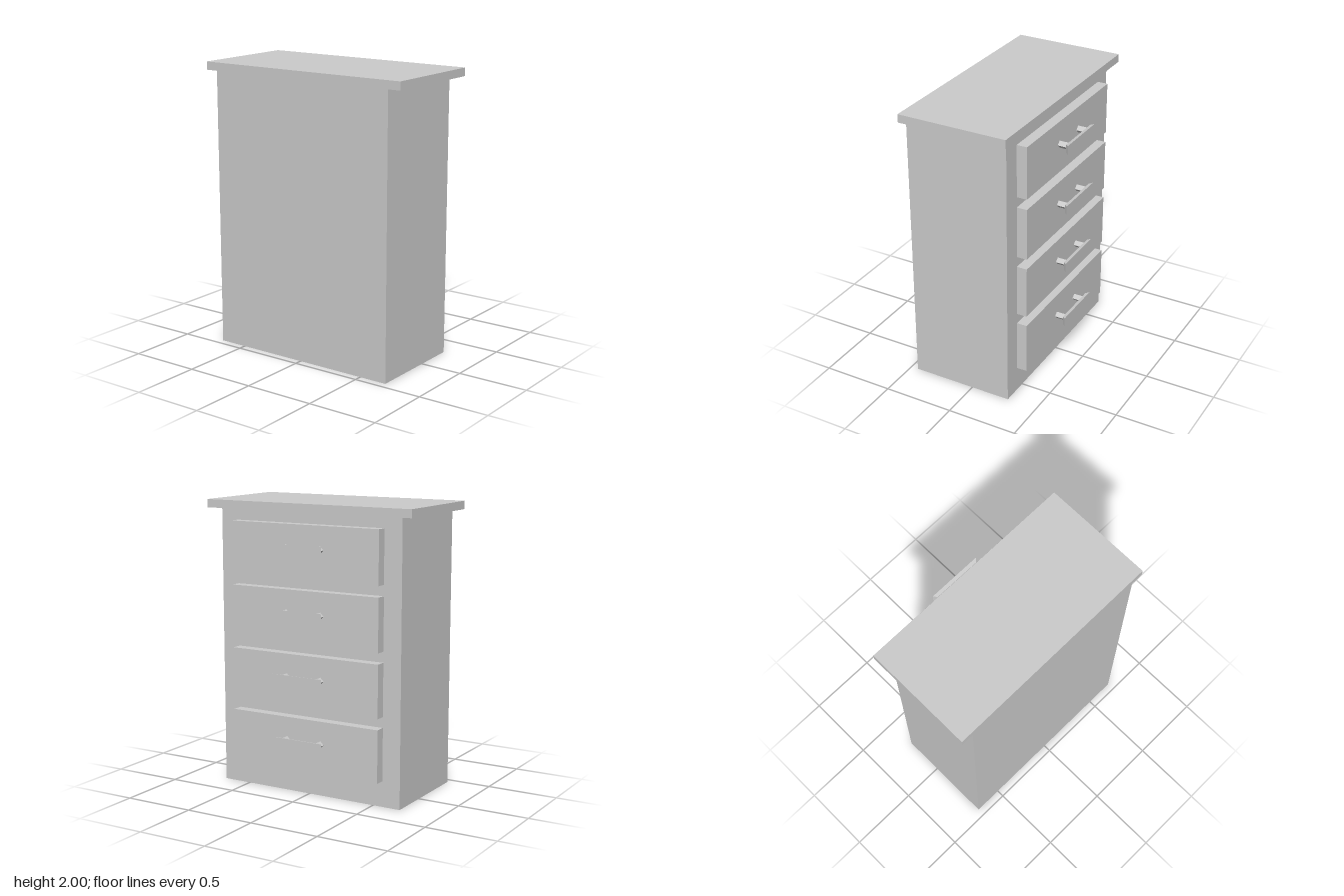
import * as THREE from 'three';

const material = new THREE.MeshStandardMaterial({ color: 0xcccccc, flatShading: true });

// Box given by its low and high corners
function box(name, [x0, y0, z0], [x1, y1, z1]) {
  const mesh = new THREE.Mesh(new THREE.BoxGeometry(x1 - x0, y1 - y0, z1 - z0), material);
  mesh.name = name;
  mesh.position.set((x0 + x1) / 2, (y0 + y1) / 2, (z0 + z1) / 2);
  return mesh;
}

// Grip bar with bevelled edges (narrower towards the drawer) on two diamond-section posts
function createHandle() {
  const handle = new THREE.Group();
  handle.name = 'handle';

  const grip = box('handleGrip', [0.423, -0.033, -0.194], [0.447, 0.033, 0.194]);
  const p = grip.geometry.attributes.position;
  for (let i = 0; i < p.count; i++) {
    if (p.getX(i) < 0) {
      p.setY(i, Math.sign(p.getY(i)) * 0.028);
      p.setZ(i, Math.sign(p.getZ(i)) * 0.173);
    }
  }
  grip.geometry.computeVertexNormals();
  handle.add(grip);

  for (const side of [-1, 1]) {
    const post = new THREE.Mesh(new THREE.CylinderGeometry(0.025, 0.025, 0.07, 4), material);
    post.name = 'handlePost';
    post.rotation.z = -Math.PI / 2;
    post.position.set(0.389, 0, side * 0.133);
    handle.add(post);
  }
  return handle;
}

export function createModel() {
  const group = new THREE.Group();
  group.name = 'chestOfDrawers';

  // Carcass and overhanging top
  group.add(box('carcass', [-0.447, 0, -0.702], [0.282, 1.943, 0.702]));
  group.add(box('top', [-0.447, 1.943, -0.792], [0.33, 2, 0.792]));

  // Four drawers facing +x
  for (let i = 0; i < 4; i++) {
    const drawer = new THREE.Group();
    drawer.name = 'drawer';
    drawer.position.y = 0.362 + i * 0.44;
    drawer.add(box('drawerFront', [0.282, -0.183, -0.571], [0.355, 0.183, 0.571]));
    const handle = createHandle();
    handle.position.y = 0.022;
    drawer.add(handle);
    group.add(drawer);
  }
  return group;
}
